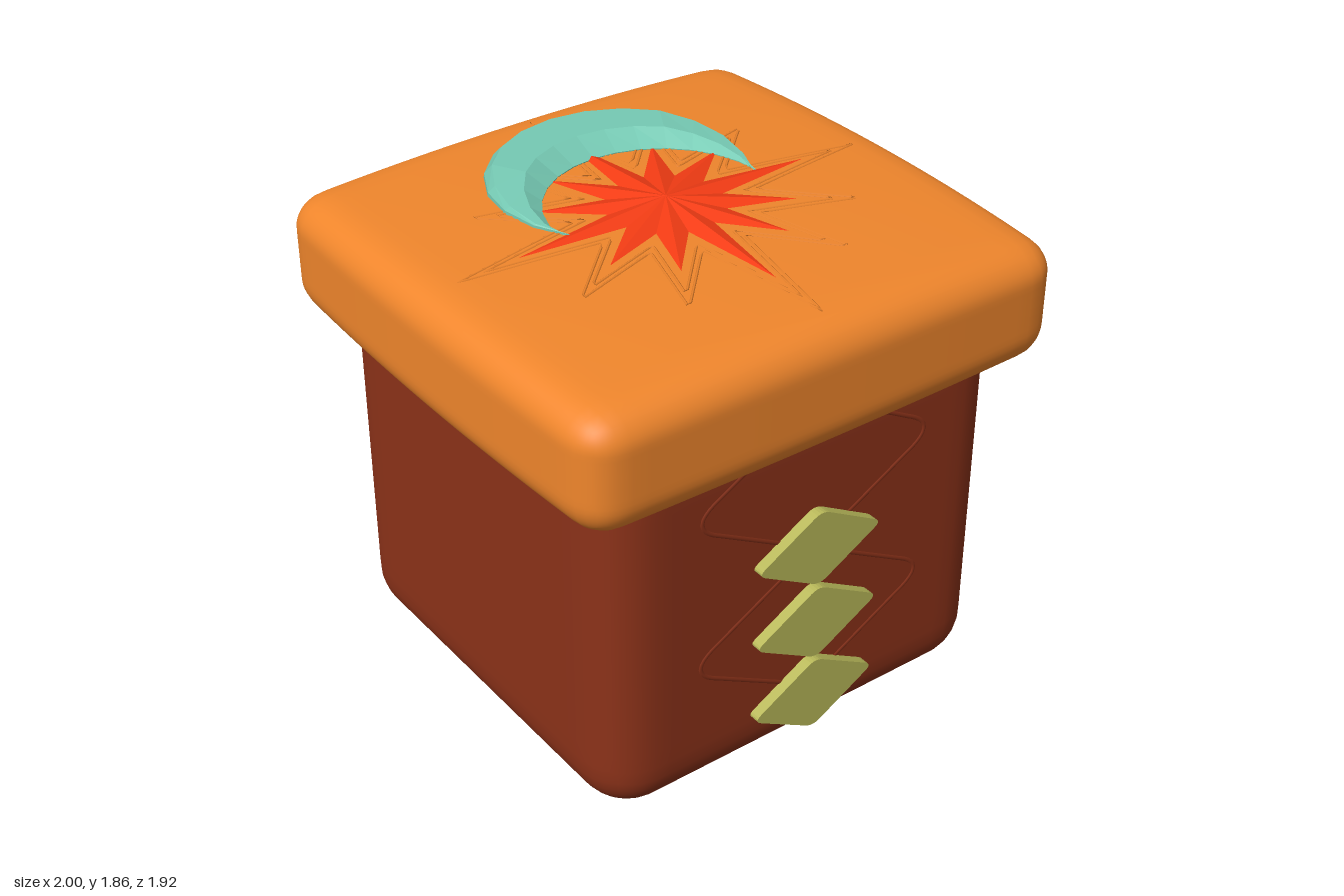
import * as THREE from 'three';
import { mergeVertices } from 'three/addons/utils/BufferGeometryUtils.js';

const mat = (color, flatShading = false) => new THREE.MeshStandardMaterial({ color, flatShading });
const LID_TOP = 1.822;
// height of the gently crowned lid at a point
const lidHeight = (x, z) => LID_TOP - 0.03 * (x * x + z * z);

function addMesh(parent, name, geometry, material) {
  const mesh = new THREE.Mesh(geometry, material);
  mesh.name = name;
  parent.add(mesh);
  return mesh;
}

// Block with rounded edges, its grid denser toward the edges
function softBlock(w, h, d, r, n = 28) {
  let geo = new THREE.BoxGeometry(2, 2, 2, n, n, n);
  geo.deleteAttribute('uv');
  geo.deleteAttribute('normal');
  geo = mergeVertices(geo);
  const pos = geo.attributes.position;
  const half = new THREE.Vector3(w / 2, h / 2, d / 2);
  const core = half.clone().subScalar(r);
  const p = new THREE.Vector3();
  for (let i = 0; i < pos.count; i++) {
    p.fromBufferAttribute(pos, i);
    for (const a of ['x', 'y', 'z']) p[a] = Math.sin(p[a] * Math.PI / 2) * half[a];
    const inner = p.clone().clamp(core.clone().negate(), core);
    p.sub(inner).setLength(r).add(inner);
    pos.setXYZ(i, p.x, p.y, p.z);
  }
  return geo;
}

// Lid: bulging sides and a crowned top
function lidGeometry() {
  const h = 0.495;
  const geo = softBlock(2, h, 1.92, 0.14);
  const pos = geo.attributes.position;
  for (let i = 0; i < pos.count; i++) {
    const x = pos.getX(i), y = pos.getY(i), z = pos.getZ(i);
    const k = Math.max(0, y / (h / 2));
    pos.setXYZ(i, x * (1 - 0.035 * z * z), y - 0.03 * k * (x * x + z * z) + LID_TOP - h / 2, z * (1 - 0.015 * x * x));
  }
  geo.computeVertexNormals();
  return geo;
}

// Twelve-pointed star as alternating tips and valleys [x, z]
function starPoints(longR, shortR, valleyR) {
  const pts = [];
  for (let i = 0; i < 24; i++) {
    const r = i % 2 ? valleyR : i % 6 === 0 ? longR : shortR;
    const a = i * Math.PI / 12;
    pts.push([r * Math.cos(a), r * Math.sin(a)]);
  }
  return pts;
}

function starGeometry() {
  const pts = starPoints(0.6, 0.45, 0.21);
  const v = [];
  pts.forEach(([x, z], i) => {
    const [x2, z2] = pts[(i + 1) % pts.length];
    v.push(0, 1.857, 0, x2, lidHeight(x2, z2) + 0.003, z2, x, lidHeight(x, z) + 0.003, z);
  });
  const geo = new THREE.BufferGeometry();
  geo.setAttribute('position', new THREE.Float32BufferAttribute(v, 3));
  geo.computeVertexNormals();
  return geo;
}

// Thin line around a star, lying on the lid
function starOutline(longR, shortR, valleyR) {
  const path = new THREE.CurvePath();
  const pts = starPoints(longR, shortR, valleyR).map(([x, z]) => new THREE.Vector3(x, lidHeight(x, z), z));
  pts.forEach((p, i) => path.add(new THREE.LineCurve3(p, pts[(i + 1) % pts.length])));
  return new THREE.TubeGeometry(path, 360, 0.005, 5, true);
}

// Crescent: four-cornered sections swept between an outer and an inner arc
function crescentGeometry(n = 14) {
  const v = [], idx = [];
  for (let i = 0; i <= n; i++) {
    const s = i / n;
    const ao = THREE.MathUtils.degToRad(-36 + 252 * s), ai = Math.PI * s;
    const ox = 0.47 * Math.cos(ao), oz = -0.285 - 0.47 * Math.sin(ao);
    const ix = 0.41 * Math.cos(ai), iz = -0.02 - 0.41 * Math.sin(ai);
    const rise = 0.048 * Math.min(1, 3.5 * Math.min(s, 1 - s));
    for (const [u, y] of [[0, 1.775], [0.03, 1.825], [0.16, 1.818 + rise], [0.68, 1.818 + rise], [1, 1.82], [0.98, 1.775]]) {
      v.push(ox + (ix - ox) * u, y, oz + (iz - oz) * u);
    }
  }
  for (let i = 0; i < n; i++) {
    for (let j = 0; j < 6; j++) {
      const a = i * 6 + j, b = i * 6 + (j + 1) % 6;
      idx.push(a, a + 6, b, b, a + 6, b + 6);
    }
  }
  const geo = new THREE.BufferGeometry();
  geo.setAttribute('position', new THREE.Float32BufferAttribute(v, 3));
  geo.setIndex(idx);
  geo.computeVertexNormals();
  return geo;
}

// Diamond plate with softened corners
function diamondGeometry() {
  const w = 0.27, h = 0.155, c = 0.12;
  const corners = [[w, 0], [0, h], [-w, 0], [0, -h]];
  const shape = new THREE.Shape();
  corners.forEach(([x, y], i) => {
    const [px, py] = corners[(i + 3) % 4], [nx, ny] = corners[(i + 1) % 4];
    const ax = x + (px - x) * c, ay = y + (py - y) * c;
    if (i) shape.lineTo(ax, ay); else shape.moveTo(ax, ay);
    shape.quadraticCurveTo(x, y, x + (nx - x) * c, y + (ny - y) * c);
  });
  shape.closePath();
  return new THREE.ExtrudeGeometry(shape, { depth: 0.055, bevelEnabled: false, curveSegments: 5 });
}

// Zigzag line with rounded turns, on one side of the diamonds
function zigzagGeometry(side) {
  const P = (x, y) => new THREE.Vector3(side * x, y, 0);
  const path = new THREE.CurvePath();
  for (const y of [1.175, 0.575]) {
    path.add(new THREE.LineCurve3(P(0, y + 0.3), P(0.4, y + 0.075)));
    path.add(new THREE.QuadraticBezierCurve3(P(0.4, y + 0.075), P(0.55, y), P(0.4, y - 0.075)));
    path.add(new THREE.LineCurve3(P(0.4, y - 0.075), P(0, y - 0.3)));
  }
  return new THREE.TubeGeometry(path, 120, 0.009, 6);
}

export function createModel() {
  const model = new THREE.Group();
  model.name = 'lidded box';
  const orange = mat(0xf0862c), brown = mat(0x8c3219);
  const olive = mat(0xb9b95a), red = mat(0xf43c14, true), teal = mat(0x76cab4, true);

  // Body and lid
  const body = softBlock(1.68, 1.55, 1.68, 0.2);
  body.translate(0, 0.78, 0);
  body.computeVertexNormals();
  addMesh(model, 'body', body, brown);
  addMesh(model, 'lid', lidGeometry(), orange);

  // Star and crescent on the lid
  addMesh(model, 'star', starGeometry(), red);
  addMesh(model, 'starOuterLine', starOutline(0.83, 0.67, 0.33), orange);
  addMesh(model, 'starInnerLine', starOutline(0.73, 0.59, 0.285), orange);
  addMesh(model, 'crescent', crescentGeometry(), teal);

  // Diamonds and zigzag lines on front and back
  const diamond = diamondGeometry();
  for (const face of ['front', 'back']) {
    const panel = new THREE.Group();
    panel.name = face + 'Ornament';
    if (face === 'back') panel.rotation.y = Math.PI;
    for (const y of [0.26, 0.577, 0.895]) {
      addMesh(panel, 'diamond', diamond, olive).position.set(0, y, 0.825);
    }
    for (const side of [-1, 1]) {
      const line = addMesh(panel, 'zigzagLine', zigzagGeometry(side), brown);
      line.scale.z = 0.4;
      line.position.z = 0.84;
    }
    model.add(panel);
  }
  return model;
}
